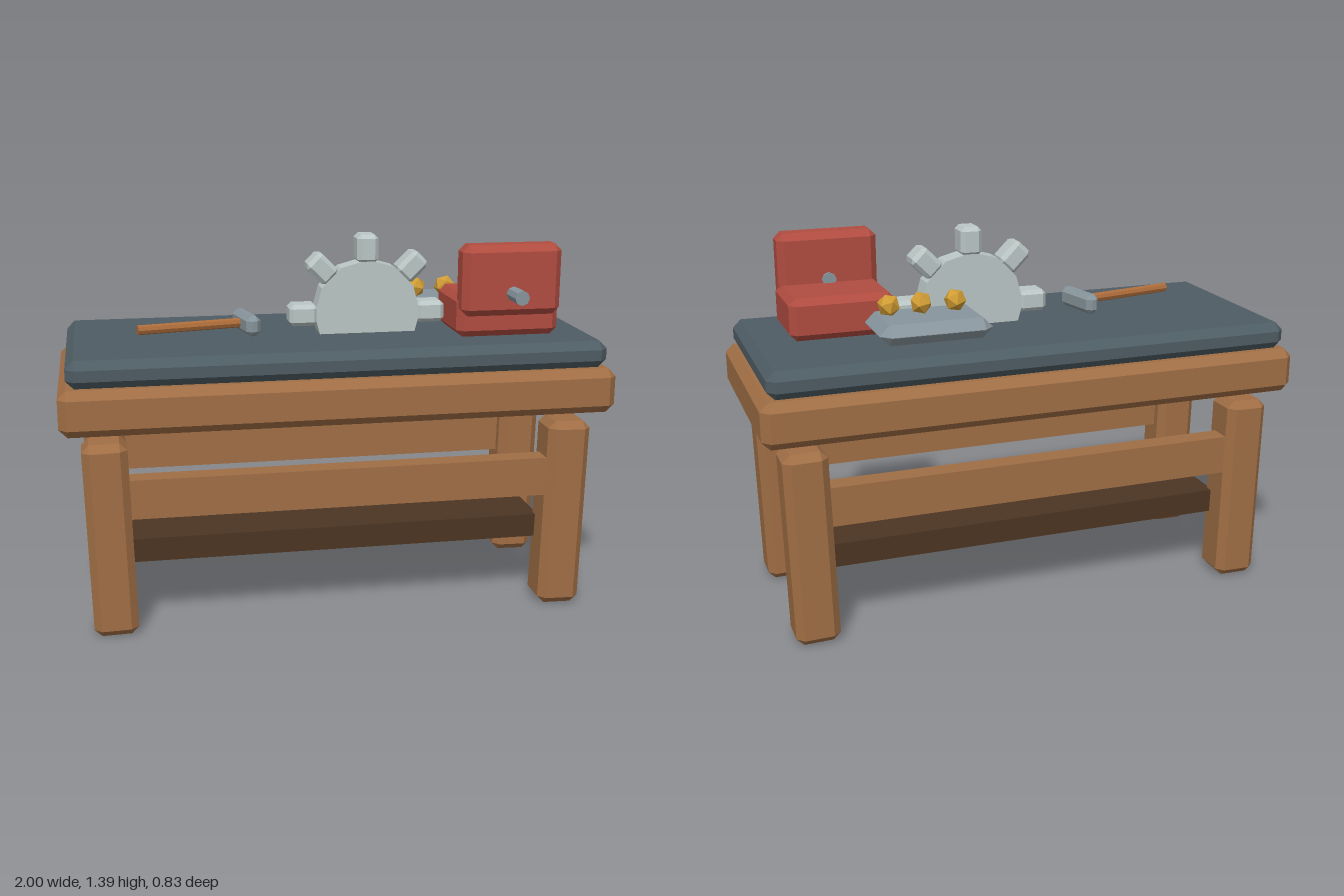
import * as THREE from 'three';
import { ConvexGeometry } from 'three/addons/geometries/ConvexGeometry.js';

const mat = (name, color) => {
  const m = new THREE.MeshStandardMaterial({ color, flatShading: true });
  m.name = name;
  return m;
};

// Box with every edge and corner cut at 45 degrees
function chamferBox(w, h, d, c) {
  const pts = [];
  for (const x of [-1, 1]) for (const y of [-1, 1]) for (const z of [-1, 1]) {
    for (let axis = 0; axis < 3; axis++) {
      const inset = [0, 1, 2].map((i) => (i === axis ? 0 : c));
      pts.push(new THREE.Vector3(
        x * (w / 2 - inset[0]), y * (h / 2 - inset[1]), z * (d / 2 - inset[2])));
    }
  }
  return new ConvexGeometry(pts);
}

export function createModel() {
  const wood = mat('wood', 0xa06e45);
  const darkWood = mat('dark wood', 0x4c3422);
  const slate = mat('slate', 0x4e5c63);
  const red = mat('red paint', 0xb04c40);
  const paleSteel = mat('pale steel', 0xbac6c5);
  const steel = mat('steel', 0x87959c);
  const gold = mat('gold', 0xd09c34);
  const handleWood = mat('handle wood', 0xac6c3a);

  const model = new THREE.Group();
  model.name = 'workbench';
  const add = (name, geometry, material, x, y, z, parent = model) => {
    const mesh = new THREE.Mesh(geometry, material);
    mesh.name = name;
    mesh.position.set(x, y, z);
    parent.add(mesh);
    return mesh;
  };

  // Bench top and work surface
  add('benchTop', chamferBox(2, 0.165, 0.83, 0.03), wood, 0, 0.847, 0);
  add('workSurface', chamferBox(1.94, 0.1, 0.78, 0.03), slate, 0, 0.978, 0);

  // Slightly leaning legs
  for (const sx of [-1, 1]) for (const sz of [-1, 1]) {
    const leg = add('leg', chamferBox(0.16, 0.72, 0.163, 0.027), wood, sx * 0.842, 0.363, sz * 0.286);
    leg.rotation.z = -sx * 0.023;
    leg.rotation.x = -sz * 0.004;
  }

  // Rails and lower shelf
  for (const sz of [-1, 1]) {
    add('rail', new THREE.BoxGeometry(1.54, 0.145, 0.08), wood, 0, 0.512, sz * 0.3);
  }
  add('shelf', new THREE.BoxGeometry(1.54, 0.088, 0.52), darkWood, 0, 0.291, 0);

  // Half-sunk gear with five teeth
  const gear = new THREE.Group();
  gear.name = 'gear';
  gear.position.set(0.14, 1.1, 0.03);
  model.add(gear);
  const disc = new THREE.CylinderGeometry(0.2, 0.2, 0.085, 12).rotateX(Math.PI / 2);
  add('gearDisc', disc, paleSteel, 0, 0, 0, gear);
  for (let i = 0; i < 5; i++) {
    const a = i * Math.PI / 4;
    const tooth = add('gearTooth', chamferBox(0.107, 0.08, 0.1, 0.015), paleSteel,
      0.24 * Math.cos(a), 0.24 * Math.sin(a), 0, gear);
    tooth.rotation.z = a;
  }

  // Vise
  const vise = new THREE.Group();
  vise.name = 'vise';
  model.add(vise);
  add('viseBase', chamferBox(0.385, 0.155, 0.3, 0.025), red, 0.632, 1.108, 0.095, vise);
  add('viseJaw', chamferBox(0.37, 0.258, 0.108, 0.025), red, 0.63, 1.243, 0.235, vise);
  const screw = new THREE.CylinderGeometry(0.027, 0.027, 0.22, 8).rotateX(Math.PI / 2);
  add('viseScrew', screw, steel, 0.632, 1.197, 0.28, vise);

  // Metal slab carrying three nuggets
  add('slab', chamferBox(0.41, 0.074, 0.28, 0.036), steel, 0.355, 1.087, -0.168);
  [0.245, 0.372, 0.49].forEach((x, i) => {
    const nugget = add('nugget', new THREE.IcosahedronGeometry(0.042), gold, x, 1.16, -0.135);
    nugget.rotation.set(0.3 + i * 0.5, i * 0.9, 0.2);
  });

  // Hammer
  const hammer = new THREE.Group();
  hammer.name = 'hammer';
  hammer.position.set(-0.31, 1.076, 0.032);
  hammer.rotation.y = 0.2;
  model.add(hammer);
  add('hammerHead', chamferBox(0.055, 0.075, 0.2, 0.018), steel, 0, 0, 0, hammer);
  const handle = new THREE.CylinderGeometry(0.018, 0.018, 0.4, 8).rotateZ(Math.PI / 2);
  add('hammerHandle', handle, handleWood, -0.21, 0, 0, hammer);

  return model;
}
